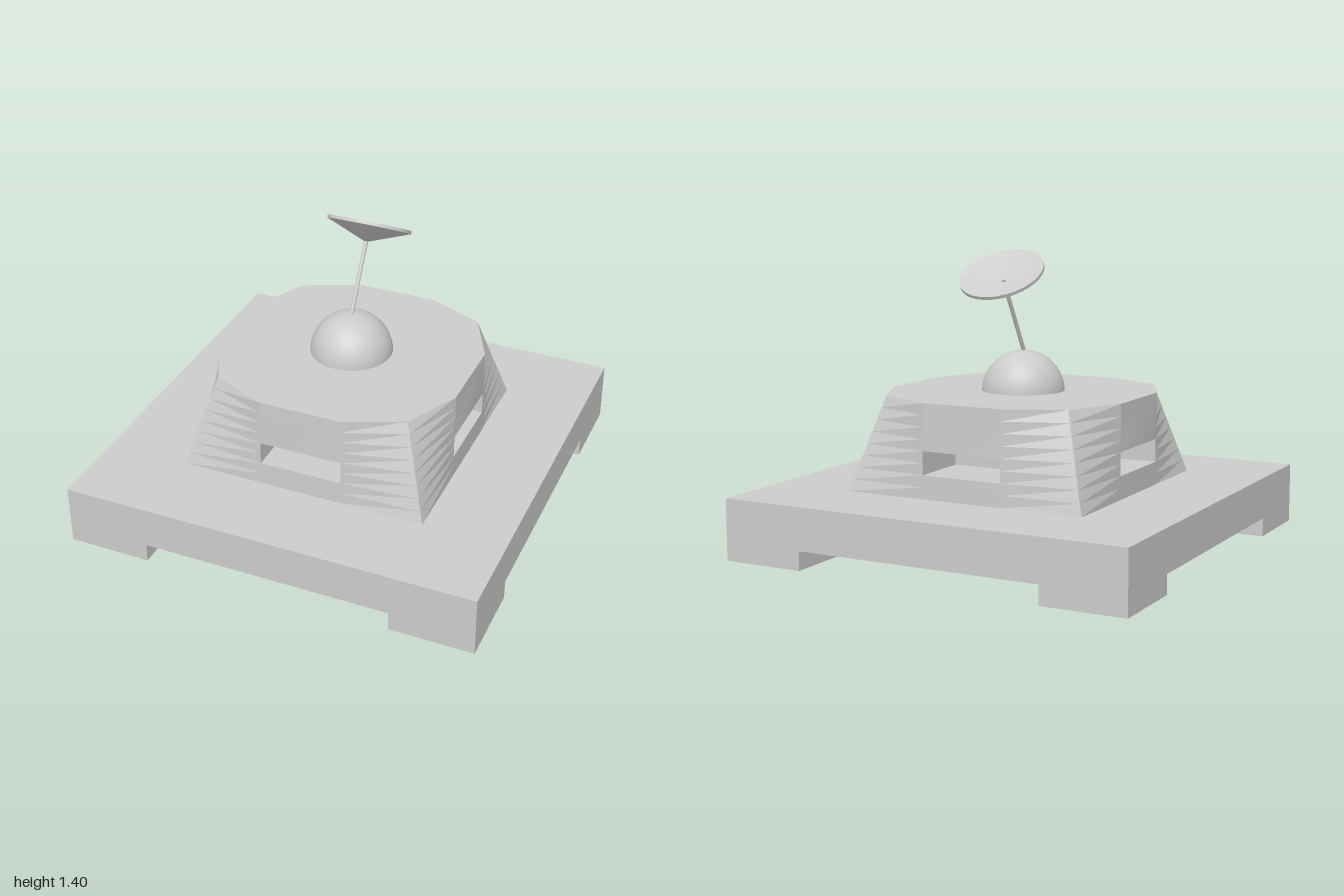
import * as THREE from 'three';
import { toCreasedNormals } from 'three/addons/utils/BufferGeometryUtils.js';

const material = new THREE.MeshStandardMaterial({ color: 0xcccccc });

const SLAB_TOP = 0.29, ROOF = 0.73;
const SILL = 0.4, LINTEL = 0.51, HALF = 0.2, RECESS = 0.3;
const lerp = THREE.MathUtils.lerp;

function addMesh(parent, name, geometry, x = 0, y = 0, z = 0) {
  const mesh = new THREE.Mesh(geometry, material);
  mesh.name = name;
  mesh.position.set(x, y, z);
  parent.add(mesh);
  return mesh;
}

// One wall of the bunker, facing +z: flat panel with a window recess and two
// flanks that twist inward towards the chamfered roof corners.
function wallGeometry(topZ) {
  const positions = [];
  const quad = (a, b, c, d) => positions.push(...a, ...b, ...c, ...a, ...c, ...d);
  const t = (y) => (y - SLAB_TOP) / (ROOF - SLAB_TOP);
  const seam = (s, y) => [s * HALF, y, lerp(0.6, topZ, t(y))];
  const corner = (s, y) => { const k = lerp(0.6, 0.47, t(y)); return [s * k, y, k]; };
  const inner = (s, y) => [s * HALF, y, RECESS];

  // panel below and above the window
  for (const [lo, hi] of [[SLAB_TOP, SILL], [LINTEL, ROOF]]) {
    quad(seam(-1, lo), seam(1, lo), seam(1, hi), seam(-1, hi));
  }
  // window recess: floor, ceiling, jambs, back
  quad(seam(-1, SILL), seam(1, SILL), inner(1, SILL), inner(-1, SILL));
  quad(inner(-1, LINTEL), inner(1, LINTEL), seam(1, LINTEL), seam(-1, LINTEL));
  quad(seam(-1, SILL), inner(-1, SILL), inner(-1, LINTEL), seam(-1, LINTEL));
  quad(inner(1, SILL), seam(1, SILL), seam(1, LINTEL), inner(1, LINTEL));
  quad(inner(-1, SILL), inner(1, SILL), inner(1, LINTEL), inner(-1, LINTEL));

  // twisted flanks
  const steps = 8;
  for (let i = 0; i < steps; i++) {
    const lo = lerp(SLAB_TOP, ROOF, i / steps), hi = lerp(SLAB_TOP, ROOF, (i + 1) / steps);
    quad(seam(1, lo), corner(1, lo), corner(1, hi), seam(1, hi));
    quad(corner(-1, lo), seam(-1, lo), seam(-1, hi), corner(-1, hi));
  }
  const geometry = new THREE.BufferGeometry();
  geometry.setAttribute('position', new THREE.Float32BufferAttribute(positions, 3));
  geometry.computeVertexNormals();
  return toCreasedNormals(geometry, 0.25);
}

export function createModel() {
  const model = new THREE.Group();
  model.name = 'bunkerStation';

  // base slab on four corner feet
  addMesh(model, 'baseSlab', new THREE.BoxGeometry(2, 0.2, 2), 0, 0.19, 0);
  for (const x of [-0.8, 0.8]) {
    for (const z of [-0.8, 0.8]) {
      addMesh(model, 'cornerFoot', new THREE.BoxGeometry(0.4, 0.09, 0.4), x, 0.045, z);
    }
  }

  // bunker walls
  const bunker = new THREE.Group();
  bunker.name = 'bunker';
  model.add(bunker);
  ['frontWall', 'leftWall', 'backWall', 'rightWall'].forEach((name, i) => {
    addMesh(bunker, name, wallGeometry(i % 2 ? 0.6 : 0.59)).rotation.y = (i * Math.PI) / 2;
  });

  // twelve-sided roof
  const outline = [
    [0.6, -0.2], [0.6, 0.2], [0.47, 0.47], [0.2, 0.59], [-0.2, 0.59], [-0.47, 0.47],
    [-0.6, 0.2], [-0.6, -0.2], [-0.47, -0.47], [-0.2, -0.59], [0.2, -0.59], [0.47, -0.47],
  ].map(([x, y]) => new THREE.Vector2(x, y));
  const roof = new THREE.ShapeGeometry(new THREE.Shape(outline)).rotateX(-Math.PI / 2);
  addMesh(bunker, 'roof', roof, 0, ROOF, 0);

  // dome
  const dome = new THREE.SphereGeometry(0.197, 40, 16, 0, Math.PI * 2, 0, Math.PI / 2);
  addMesh(model, 'dome', dome, 0, 0.725, 0);

  // antenna leaning to the back: mast and shallow conical dish
  const antenna = new THREE.Group();
  antenna.name = 'antenna';
  antenna.position.set(0, 0.925, 0);
  antenna.rotation.x = -Math.PI / 6;
  model.add(antenna);
  addMesh(antenna, 'mast', new THREE.CylinderGeometry(0.01, 0.01, 0.45, 16), 0, 0.17, 0);
  const profile = [[0, 0], [0.2, 0.077], [0.2, 0.092], [0, 0.045]]
    .map(([r, y]) => new THREE.Vector2(r, y));
  const dish = toCreasedNormals(new THREE.LatheGeometry(profile, 48), 0.4);
  addMesh(antenna, 'dish', dish, 0, 0.34, 0);

  return model;
}
